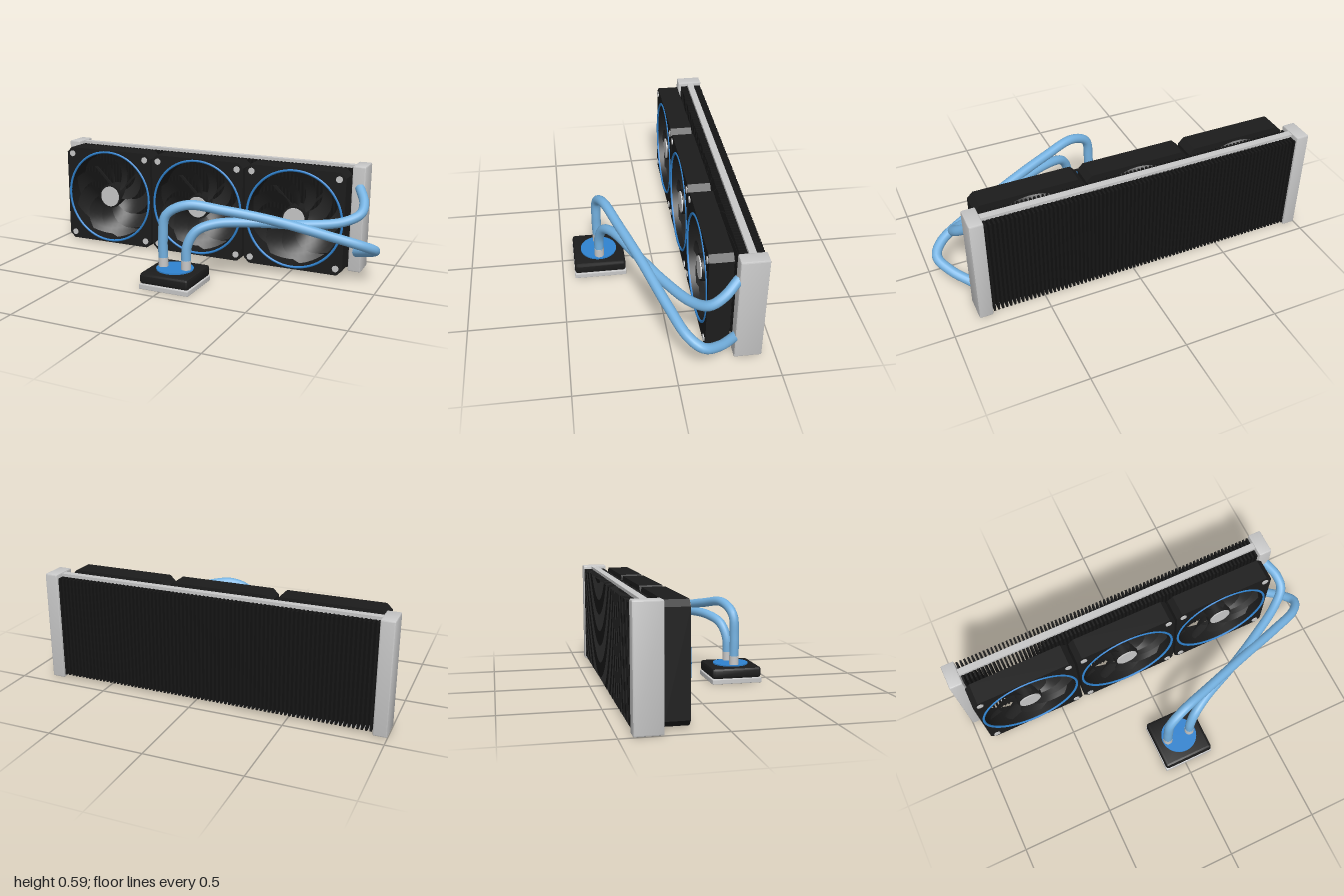
import * as THREE from 'three';
import { toCreasedNormals } from 'three/addons/utils/BufferGeometryUtils.js';
import { RoundedBoxGeometry } from 'three/addons/geometries/RoundedBoxGeometry.js';

const paint = (name, color, side = THREE.FrontSide) => {
  const m = new THREE.MeshStandardMaterial({ color, side });
  m.name = name;
  return m;
};

export function createModel() {
  const black = paint('black plastic', 0x1c1c1c);
  const bladeBlack = paint('blade black', 0x262626, THREE.DoubleSide);
  const finBlack = paint('fin black', 0x161616);
  const grey = paint('light grey metal', 0xc8c8c8);
  const blue = paint('accent blue', 0x2f83d0);
  const hoseBlue = paint('hose blue', 0x74b1e0);

  const model = new THREE.Group();
  model.name = 'liquidCooler';
  const add = (parent, name, geo, mat, x = 0, y = 0, z = 0) => {
    const mesh = new THREE.Mesh(geo, mat);
    mesh.name = name;
    mesh.position.set(x, y, z);
    parent.add(mesh);
    return mesh;
  };
  const bevelBox = (w, h, d, r) => toCreasedNormals(new RoundedBoxGeometry(w, h, d, 1, r), 0.4);
  const discZ = (r, depth, sides = 32) => new THREE.CylinderGeometry(r, r, depth, sides).rotateX(Math.PI / 2);

  // Radiator: end tanks, top and bottom rails, thin vertical fins
  const radiator = new THREE.Group();
  radiator.name = 'radiator';
  model.add(radiator);
  const tank = bevelBox(0.072, 0.588, 0.139, 0.007);
  add(radiator, 'rightTank', tank, grey, -0.964, 0.294, -0.365);
  add(radiator, 'leftTank', tank, grey, 0.818, 0.294, -0.365);
  const rail = new THREE.BoxGeometry(1.72, 0.018, 0.036);
  for (const y of [0.012, 0.574]) add(radiator, 'rail', rail, grey, -0.073, y, -0.367);
  const finCount = 80;
  const fins = new THREE.InstancedMesh(new THREE.BoxGeometry(0.01, 0.55, 0.12), finBlack, 1);
  for (let i = 0; i < finCount; i++) {
    add(radiator, 'fin', fins.geometry, finBlack, -0.918 + (i * 1.69) / (finCount - 1), 0.293, -0.37);
  }

  // Fan frame: square with cut corners and a round opening
  const h = 0.282, c = 0.03;
  const outline = new THREE.Shape([
    [-h + c, -h], [h - c, -h], [h, -h + c], [h, h - c],
    [h - c, h], [-h + c, h], [-h, h - c], [-h, -h + c],
  ].map(([x, y]) => new THREE.Vector2(x, y)));
  outline.holes.push(new THREE.Path().absarc(0, 0, 0.264, 0, Math.PI * 2, true));
  const frameGeo = toCreasedNormals(
    new THREE.ExtrudeGeometry(outline, { depth: 0.118, bevelEnabled: false, curveSegments: 48 }), 0.5);

  // Fan blade: swept and twisted sheet from hub to rim
  const bladeGeo = new THREE.PlaneGeometry(1, 1, 4, 8);
  const p = bladeGeo.attributes.position;
  for (let i = 0; i < p.count; i++) {
    const u = p.getX(i), t = p.getY(i) + 0.5;
    const r = 0.065 + 0.19 * t;
    const a = u * (0.62 - 0.1 * t) - 0.75 * t * t;
    p.setXYZ(i, r * Math.sin(a), r * Math.cos(a), u * 0.06);
  }
  bladeGeo.computeVertexNormals();

  const ringGeo = new THREE.TorusGeometry(0.27, 0.007, 8, 64);
  const hubGeo = discZ(0.07, 0.09), capGeo = discZ(0.06, 0.008), screwGeo = discZ(0.018, 0.006, 16);
  const strutGeo = new THREE.BoxGeometry(0.2, 0.014, 0.008).translate(0.165, 0, 0);
  for (const x of [-0.65, -0.073, 0.504]) {
    const fan = new THREE.Group();
    fan.name = 'fan';
    fan.position.set(x, 0.294, -0.283);
    model.add(fan);
    add(fan, 'frame', frameGeo, black);
    add(fan, 'accentRing', ringGeo, blue, 0, 0, 0.117);
    add(fan, 'hub', hubGeo, black, 0, 0, 0.057);
    add(fan, 'hubCap', capGeo, grey, 0, 0, 0.105);
    for (let i = 0; i < 9; i++) {
      add(fan, 'blade', bladeGeo, bladeBlack, 0, 0, 0.06).rotation.z = (i * Math.PI * 2) / 9;
    }
    for (let i = 0; i < 4; i++) {
      const a = Math.PI / 4 + (i * Math.PI) / 2;
      add(fan, 'strut', strutGeo, black, 0, 0, 0.006).rotation.z = a;
      const sx = Math.sign(Math.cos(a)) * 0.245, sy = Math.sign(Math.sin(a)) * 0.245;
      add(fan, 'screw', screwGeo, grey, sx, sy, 0.12);
    }
  }

  // Pump block with cold plate, accent disc and hose fittings
  const pump = new THREE.Group();
  pump.name = 'pump';
  pump.position.set(0.022, 0, 0.296);
  model.add(pump);
  add(pump, 'coldPlate', bevelBox(0.28, 0.028, 0.28, 0.004), grey, 0, 0.014, 0);
  add(pump, 'pumpBody', bevelBox(0.276, 0.059, 0.276, 0.014), black, 0, 0.0575, 0);
  add(pump, 'accentDisc', new THREE.CylinderGeometry(0.098, 0.098, 0.008, 48), blue, 0, 0.09, 0);
  const fitting = new THREE.CylinderGeometry(0.026, 0.026, 0.052, 24);
  for (const x of [-0.068, 0.064]) add(pump, 'hoseFitting', fitting, grey, x, 0.117, 0);

  // Hoses from the pump to the left tank
  const hose = (name, points) => {
    const curve = new THREE.CatmullRomCurve3(points.map((q) => new THREE.Vector3(...q)));
    add(model, name, new THREE.TubeGeometry(curve, 72, 0.0255, 16), hoseBlue);
  };
  hose('lowerHose', [
    [-0.046, 0.125, 0.296], [-0.046, 0.25, 0.298], [-0.03, 0.37, 0.293], [0.07, 0.427, 0.262],
    [0.25, 0.405, 0.2], [0.5, 0.355, 0.11], [0.75, 0.285, 0.02], [0.92, 0.23, -0.055],
    [0.965, 0.195, -0.12], [0.92, 0.155, -0.205], [0.825, 0.113, -0.3],
  ]);
  hose('upperHose', [
    [0.086, 0.125, 0.296], [0.091, 0.22, 0.293], [0.13, 0.297, 0.27], [0.22, 0.336, 0.222],
    [0.42, 0.342, 0.13], [0.62, 0.326, 0.02], [0.8, 0.335, -0.09], [0.872, 0.37, -0.16],
    [0.87, 0.415, -0.225], [0.825, 0.475, -0.3],
  ]);

  return model;
}
